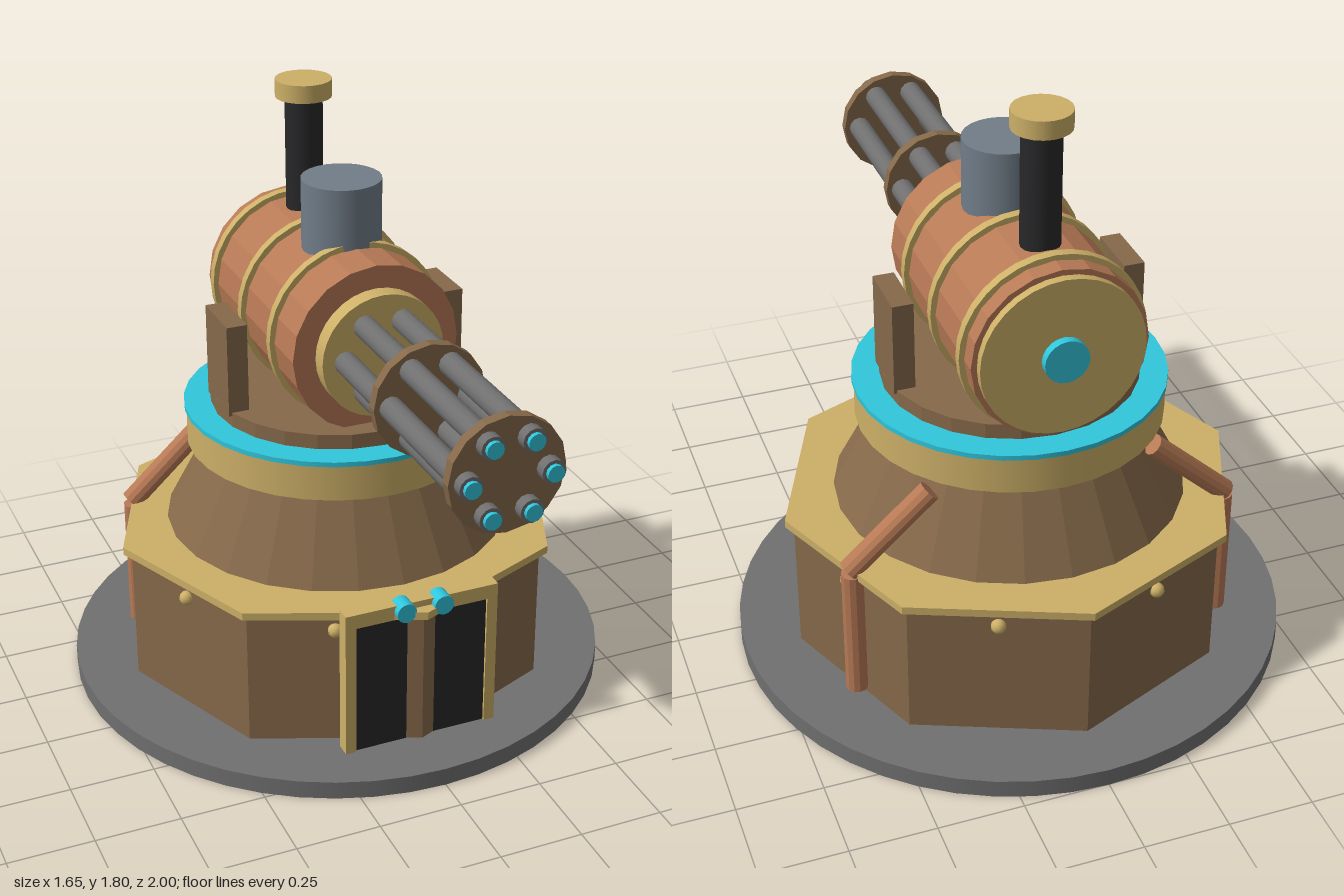
import * as THREE from 'three';

const mat = (color, flatShading = false) => new THREE.MeshStandardMaterial({ color, flatShading });
const brown = mat(0x86694a, true), copper = mat(0xb87a56, true), gold = mat(0xcdb068);
const cyan = mat(0x30c6dc), steel = mat(0x707070), black = mat(0x28282a), slate = mat(0x717d89);
const CZ = -0.177; // tower axis
const GY = 1.16; // gun axis height

export function createModel() {
  const model = new THREE.Group();

  const add = (parent, name, geometry, material, x = 0, y = 0, z = 0) => {
    const mesh = new THREE.Mesh(geometry, material);
    mesh.name = name;
    mesh.position.set(x, y, z);
    parent.add(mesh);
    return mesh;
  };
  const box = (parent, name, material, w, h, d, x, y, z) =>
    add(parent, name, new THREE.BoxGeometry(w, h, d), material, x, y, z);
  // upright cylinder between heights y0 and y1
  const post = (parent, name, material, r0, r1, y0, y1, sides, x = 0, z = CZ) =>
    add(parent, name, new THREE.CylinderGeometry(r1, r0, y1 - y0, sides), material, x, (y0 + y1) / 2, z);
  // cylinder lying along z between z0 and z1
  const barrel = (parent, name, material, r, z0, z1, sides, x = 0, y = GY) => {
    const g = new THREE.CylinderGeometry(r, r, z1 - z0, sides).rotateX(Math.PI / 2);
    return add(parent, name, g, material, x, y, (z0 + z1) / 2);
  };

  // Tower
  const tower = new THREE.Group();
  tower.name = 'tower';
  model.add(tower);
  post(tower, 'groundPlate', steel, 0.825, 0.825, 0, 0.055, 48);
  post(tower, 'octagonBase', brown, 0.66, 0.66, 0.055, 0.476, 8);
  const trim = gold.clone();
  trim.flatShading = true;
  post(tower, 'octagonTrim', trim, 0.686, 0.686, 0.476, 0.5, 8);
  post(tower, 'neckCone', brown, 0.52, 0.385, 0.5, 0.76, 24);
  post(tower, 'collar', gold, 0.45, 0.45, 0.76, 0.872, 32);
  post(tower, 'glowRing', cyan, 0.456, 0.456, 0.87, 0.885, 32);
  post(tower, 'turntable', brown, 0.375, 0.375, 0.885, 0.93, 24);

  // Rivets at the middle of each octagon face
  for (let i = 0; i < 8; i++) {
    const a = (i + 0.5) * Math.PI / 4;
    add(tower, 'rivet', new THREE.SphereGeometry(0.022, 10, 8), gold,
      Math.sin(a) * 0.615, 0.43, CZ + Math.cos(a) * 0.615);
  }

  // Door
  const door = new THREE.Group();
  door.name = 'door';
  model.add(door);
  box(door, 'doorPanel', black, 0.42, 0.42, 0.06, 0, 0.265, 0.435);
  box(door, 'doorLintel', gold, 0.475, 0.045, 0.045, 0, 0.4975, 0.45);
  for (const s of [-1, 1]) {
    box(door, 'doorPost', gold, 0.033, 0.42, 0.045, s * 0.221, 0.265, 0.45);
    barrel(door, 'doorLamp', cyan, 0.03, 0.44, 0.495, 16, s * 0.058, 0.502);
  }

  // Side pipes: an upright run and a slanted run up to the collar
  const pipe = (from, to) => {
    const dir = to.clone().sub(from);
    const mid = from.clone().add(to).multiplyScalar(0.5);
    const mesh = add(tower, 'pipe', new THREE.CylinderGeometry(0.033, 0.033, dir.length(), 12), copper, mid.x, mid.y, mid.z);
    mesh.quaternion.setFromUnitVectors(new THREE.Vector3(0, 1, 0), dir.normalize());
  };
  for (const s of [-1, 1]) {
    const p = (x, y) => new THREE.Vector3(s * x, y, -0.455);
    pipe(p(0.565, 0.075), p(0.565, 0.485));
    pipe(p(0.575, 0.495), p(0.335, 0.713));
    box(tower, 'bracket', brown, 0.062, 0.28, 0.182, s * 0.341, 1.06, -0.172);
  }

  // Gun housing
  const gun = new THREE.Group();
  gun.name = 'gun';
  model.add(gun);
  barrel(gun, 'housing', copper, 0.253, -0.572, 0.132, 20);
  for (const z of [-0.025, -0.264, -0.505]) barrel(gun, 'housingBand', gold, 0.268, z - 0.014, z + 0.014, 32);
  barrel(gun, 'rearCap', gold, 0.236, -0.597, -0.57, 32);
  barrel(gun, 'rearLamp', cyan, 0.064, -0.622, -0.595, 20);
  barrel(gun, 'frontCollar', gold, 0.185, 0.13, 0.185, 32);
  post(gun, 'boilerDrum', slate, 0.117, 0.117, 1.3, 1.59, 24, 0, -0.12);
  post(gun, 'chimney', black, 0.056, 0.056, 1.35, 1.75, 16, 0, -0.407);
  post(gun, 'chimneyCap', gold, 0.084, 0.084, 1.747, 1.8, 20, 0, -0.407);

  // Six barrels held by two discs
  for (const z of [0.481, 0.94]) barrel(gun, 'barrelDisc', brown, 0.165, z - 0.016, z + 0.016, 16);
  for (let i = 0; i < 6; i++) {
    const a = i * Math.PI / 3, x = Math.cos(a) * 0.115, y = GY + Math.sin(a) * 0.115;
    barrel(gun, 'gunBarrel', steel, 0.034, 0.17, 0.988, 12, x, y);
    barrel(gun, 'muzzleGlow', cyan, 0.024, 0.98, 1, 12, x, y);
  }
  return model;
}
